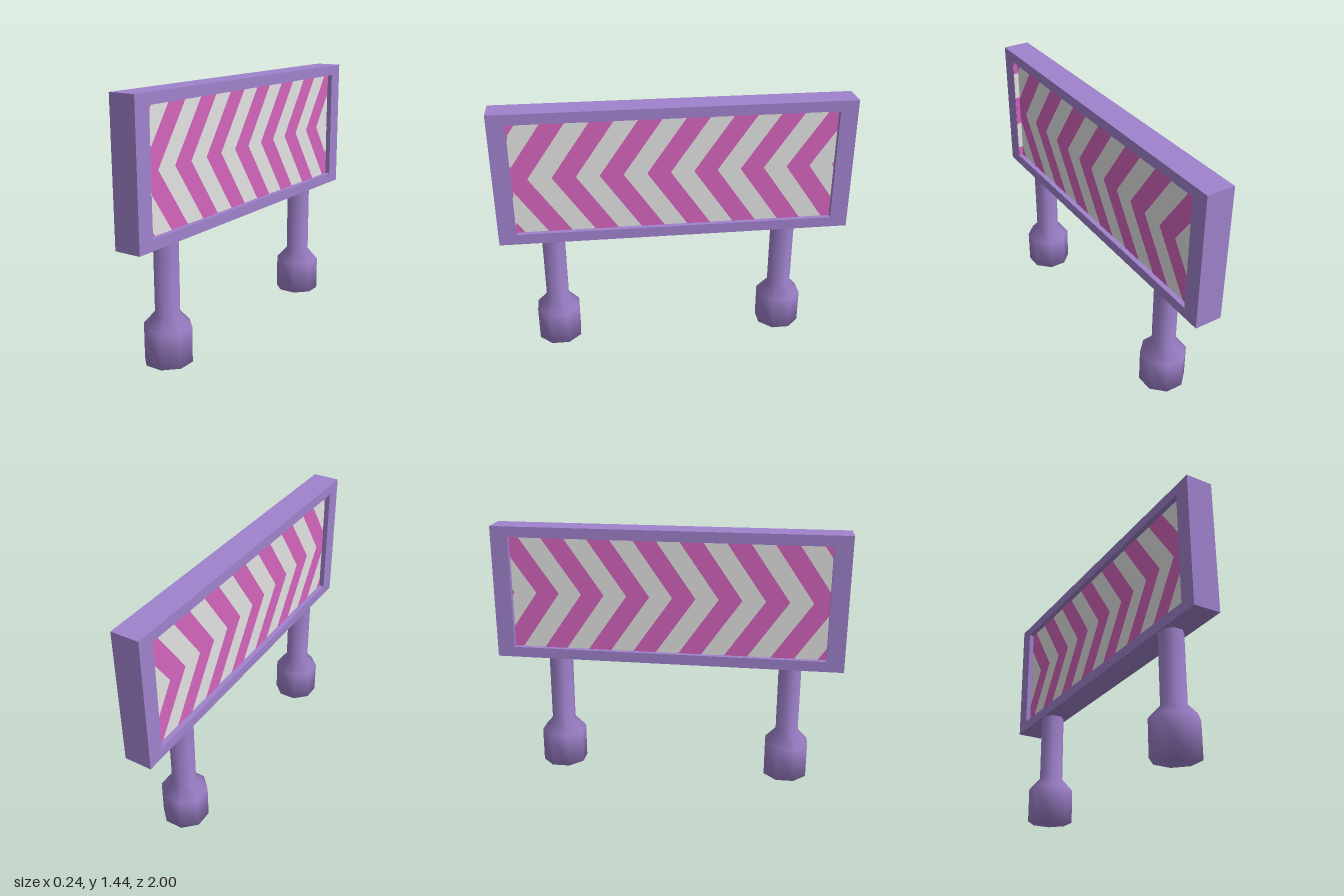
import * as THREE from 'three';

const purple = new THREE.MeshStandardMaterial({ color: 0x9f82cc });
purple.name = 'purple';
const white = new THREE.MeshStandardMaterial({ color: 0xe2e2e2 });
white.name = 'white';
const pink = new THREE.MeshStandardMaterial({ color: 0xd464bc });
pink.name = 'pink';

const BACK = -0.07, FRONT = 0.085;      // board thickness along x
const RECESS = 0.03;
const HALF_W = 0.9, LOW = 0.73, HIGH = 1.38;  // panel opening
const MID = (LOW + HIGH) / 2;

function add(parent, name, geometry, material) {
  const mesh = new THREE.Mesh(geometry, material);
  mesh.name = name;
  parent.add(mesh);
  return mesh;
}

function rect(path, x0, y0, x1, y1) {
  path.moveTo(x0, y0);
  path.lineTo(x1, y0);
  path.lineTo(x1, y1);
  path.lineTo(x0, y1);
  path.closePath();
  return path;
}

// Keep the part of a polygon where side * z <= HALF_W
function clip(points, side) {
  const out = [];
  points.forEach((a, i) => {
    const b = points[(i + 1) % points.length];
    const da = HALF_W - side * a.x, db = HALF_W - side * b.x;
    if (da >= 0) out.push(a);
    if (da * db < 0) out.push(a.clone().lerp(b, da / (da - db)));
  });
  return out;
}

// Pink chevrons pointing to +z on one face of the panel
function chevrons(side) {
  const group = new THREE.Group();
  group.name = side > 0 ? 'leftChevrons' : 'rightChevrons';
  const x = side > 0 ? FRONT - RECESS + 0.002 : BACK + RECESS - 0.002;
  for (let k = -2; k <= 6; k++) {
    const tip = 0.684 - 0.262 * k, width = 0.1315, sweep = 0.225;
    for (const edge of [LOW, HIGH]) {
      let arm = [
        new THREE.Vector2(tip, MID),
        new THREE.Vector2(tip - width, MID),
        new THREE.Vector2(tip - width - sweep, edge),
        new THREE.Vector2(tip - sweep, edge),
      ];
      arm = clip(clip(arm, 1), -1);
      if (arm.length < 3) continue;
      const shape = new THREE.Shape(arm.map(p => new THREE.Vector2(-side * p.x, p.y)));
      const geometry = new THREE.ShapeGeometry(shape);
      geometry.rotateY(side * Math.PI / 2).translate(x, 0, 0);
      add(group, 'chevronArm', geometry, pink);
    }
  }
  return group;
}

export function createModel() {
  const model = new THREE.Group();
  model.name = 'chevronBarrier';

  // Frame with a rectangular opening
  const outline = rect(new THREE.Shape(), -1, 0.67, 1, 1.44);
  outline.holes.push(rect(new THREE.Path(), -HALF_W, LOW, HALF_W, HIGH));
  const frame = new THREE.ExtrudeGeometry(outline, { depth: FRONT - BACK, bevelEnabled: false });
  frame.rotateY(Math.PI / 2).translate(BACK, 0, 0);
  add(model, 'frame', frame, purple);

  // Recessed panel, striped on both faces
  const panel = new THREE.BoxGeometry(FRONT - BACK - 2 * RECESS, HIGH - LOW, 2 * HALF_W);
  add(model, 'panel', panel, white).position.set((FRONT + BACK) / 2, MID, 0);
  model.add(chevrons(1), chevrons(-1));

  // Stripes wrapping onto one inner end wall of the frame
  const bands = [[LOW, 0.79, pink], [0.79, 0.96, white], [0.96, 1.14, pink],
    [1.14, 1.3, white], [1.3, HIGH, pink]];
  for (const [y0, y1, material] of bands) {
    const band = new THREE.BoxGeometry(RECESS - 0.001, y1 - y0, 0.003);
    add(model, 'endWallBand', band, material)
      .position.set(FRONT - RECESS / 2 - 0.001, (y0 + y1) / 2, HALF_W - 0.0015);
  }

  // Eight-sided posts with wide feet
  const profile = [[0, 0], [0.132, 0], [0.132, 0.2], [0.069, 0.27], [0.069, 0.68]]
    .map(([r, y]) => new THREE.Vector2(r, y));
  for (const z of [0.703, -0.64]) {
    const post = new THREE.LatheGeometry(profile, 8, Math.PI / 8);
    add(model, 'post', post, purple).position.z = z;
  }
  return model;
}
